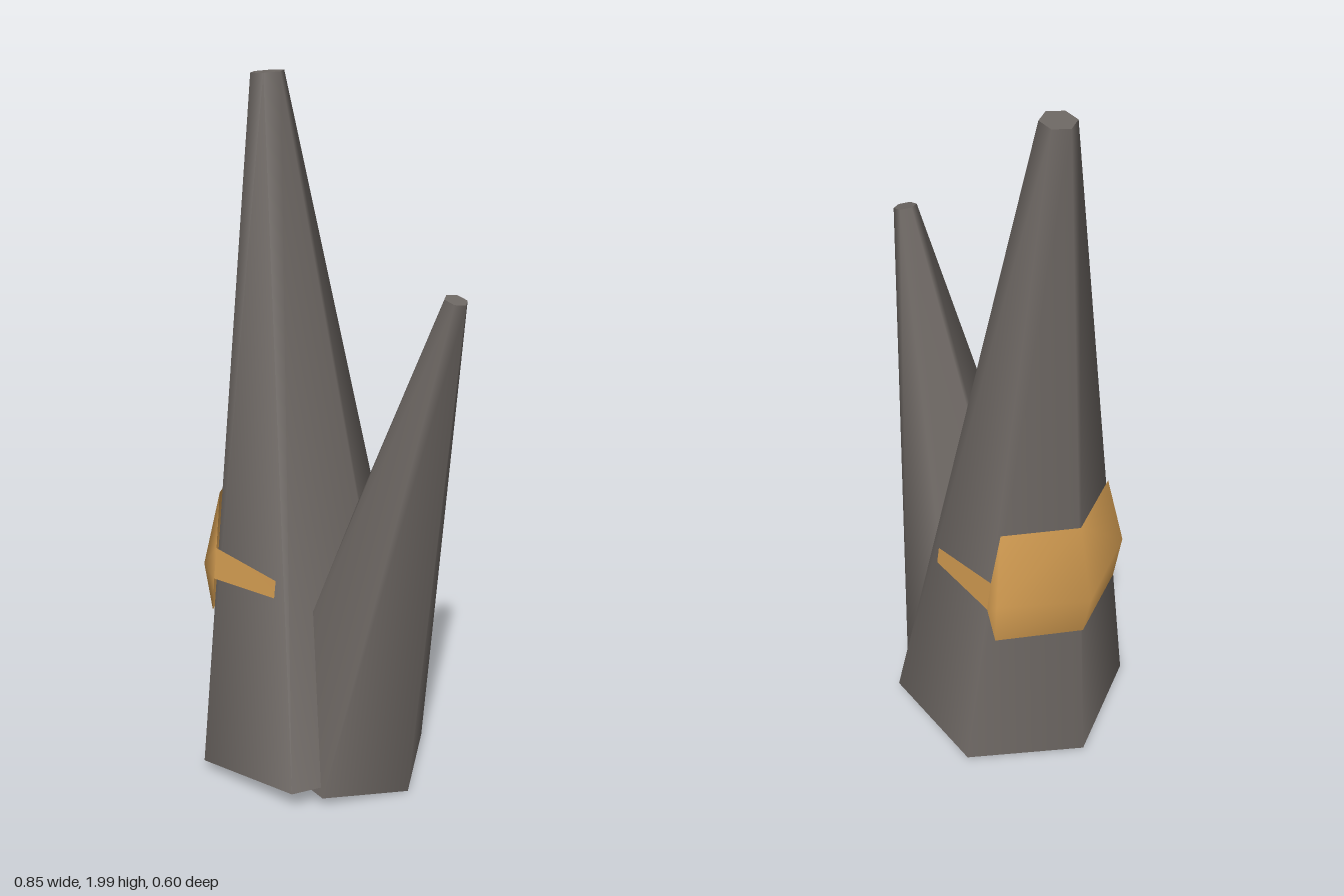
import * as THREE from 'three';

const rock = new THREE.MeshStandardMaterial({ color: 0x6e6864 });
rock.name = 'stone grey';
const amber = new THREE.MeshStandardMaterial({ color: 0xd09a50, side: THREE.DoubleSide });
amber.name = 'amber';

// Six-sided tapered spike running from one axis point to another
function spike(name, from, to, rBottom, rTop) {
  const a = new THREE.Vector3(...from), b = new THREE.Vector3(...to);
  const dir = b.clone().sub(a);
  const geo = new THREE.CylinderGeometry(rTop, rBottom, dir.length(), 6, 1, false, Math.PI / 2);
  const mesh = new THREE.Mesh(geo, rock);
  mesh.name = name;
  mesh.position.copy(a).add(b).multiplyScalar(0.5);
  mesh.quaternion.setFromUnitVectors(new THREE.Vector3(0, 1, 0), dir.normalize());
  return mesh;
}

// Surface from points, with smooth normals
function patch(name, points, faces) {
  const geo = new THREE.BufferGeometry();
  geo.setAttribute('position', new THREE.Float32BufferAttribute(points.flat(), 3));
  geo.setIndex(faces.flat());
  geo.computeVertexNormals();
  const mesh = new THREE.Mesh(geo, amber);
  mesh.name = name;
  return mesh;
}

const mirror = (p) => [p[0], p[1], -p[2]];

export function createModel() {
  const group = new THREE.Group();
  group.name = 'twinSpikes';
  group.add(
    spike('tallSpike', [-0.081, 0.052, 0], [-0.238, 1.996, 0], 0.345, 0.047),
    spike('shortSpike', [0.016, 0.073, 0], [0.394, 1.488, 0], 0.263, 0.032)
  );

  // Bulging plate wrapped around the tall spike's outer corner
  const ridge = [[-0.374, 0.85, 0], [-0.426, 0.62, 0], [-0.4, 0.49, 0]];
  const edge = [
    [-0.268, 0.85, 0.19], [-0.3, 0.635, 0.228], [-0.281, 0.49, 0.218],
    [-0.26, 0.69, 0.217], [-0.26, 0.6, 0.23]
  ];
  const half = [
    [0, 1, 4], [0, 4, 3], [1, 2, 5], [1, 5, 4],
    [3, 4, 6], [4, 5, 7], [4, 7, 6]
  ];
  const other = half.map((f) => f.map((i) => (i < 3 ? i : i + 5)).reverse());
  group.add(patch('bulgePlate', [...ridge, ...edge, ...edge.map(mirror)], [...half, ...other]));

  // Thin tapering prongs lying on the front and back faces
  const prong = [[-0.26, 0.69, 0.217], [-0.26, 0.6, 0.23], [-0.03, 0.61, 0.229], [-0.03, 0.66, 0.222]];
  group.add(
    patch('frontProng', prong, [[0, 1, 2], [0, 2, 3]]),
    patch('backProng', prong.map(mirror), [[2, 1, 0], [3, 2, 0]])
  );
  return group;
}
